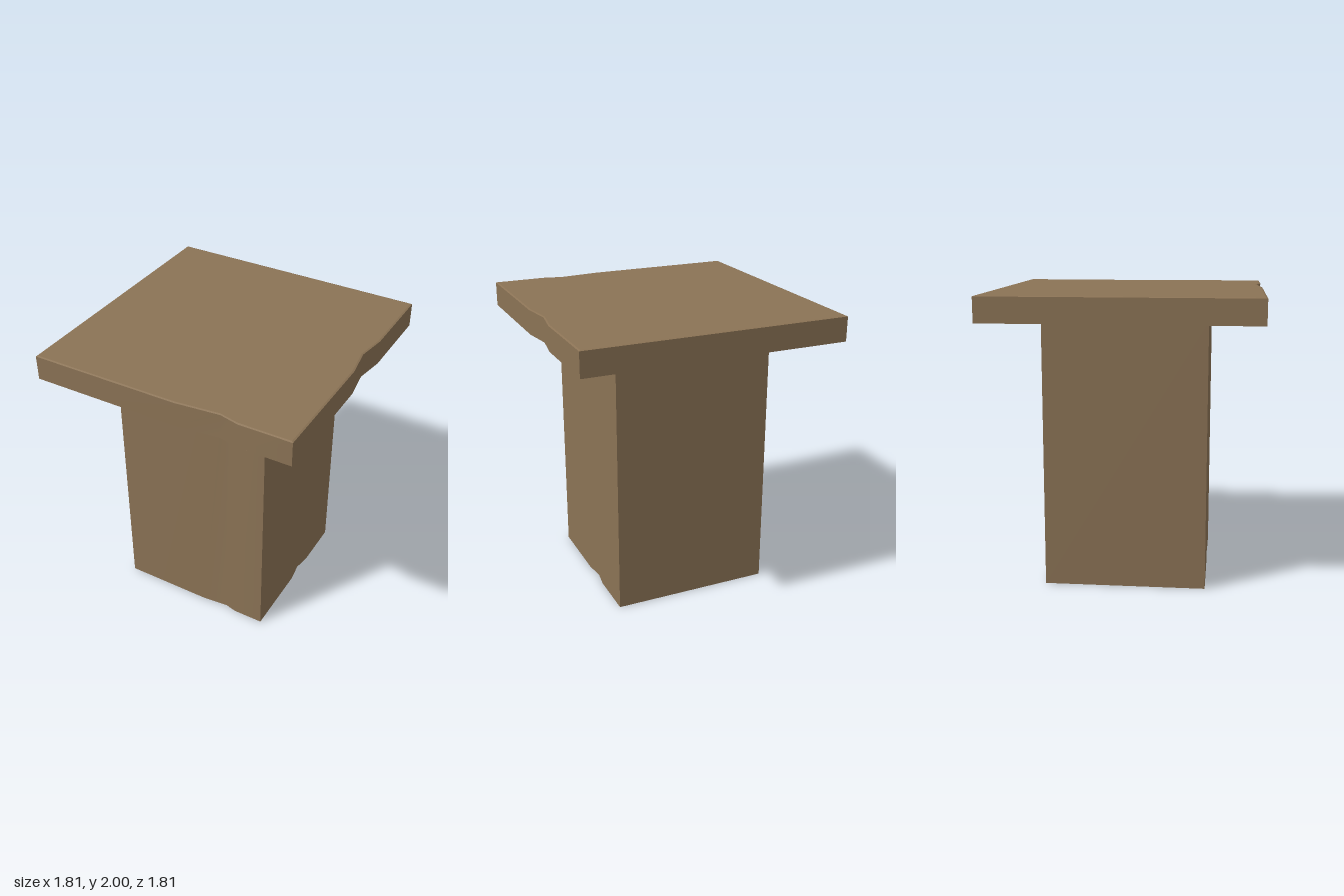
import * as THREE from 'three';
import { mergeGeometries } from 'three/addons/utils/BufferGeometryUtils.js';

// Plan outline as four sides [x, z], with a shallow chip in the front and left sides
const A = -0.905, B = 0.903;
const sides = [
  [[A, B], [0.12, B], [0.42, 0.873], [0.55, B], [B, B]],
  [[B, B], [B, 0.07], [0.872, -0.14], [B, -0.34], [B, A]],
  [[B, A], [A, A]],
  [[A, A], [A, B]],
];

// Band between two scaled outlines; each side is smooth, corners stay sharp
function band(s0, y0, s1, y1) {
  return mergeGeometries(sides.map((side) => {
    const pos = [], index = [];
    side.forEach(([x, z], i) => {
      pos.push(x * s0, y0, z * s0, x * s1, y1, z * s1);
      if (i) {
        const a = 2 * i - 2;
        index.push(a, a + 2, a + 3, a, a + 3, a + 1);
      }
    });
    const g = new THREE.BufferGeometry();
    g.setAttribute('position', new THREE.Float32BufferAttribute(pos, 3));
    g.setIndex(index);
    g.computeVertexNormals();
    return g;
  }));
}

// Flat cap with the scaled outline, facing up
function cap(s, y) {
  const pts = sides.flatMap((side) => side.slice(0, -1))
    .map(([x, z]) => new THREE.Vector2(x * s, -z * s));
  return new THREE.ShapeGeometry(new THREE.Shape(pts)).rotateX(-Math.PI / 2).translate(0, y, 0);
}

export function createModel() {
  const model = new THREE.Group();
  model.name = 'pillar';
  const brown = new THREE.MeshStandardMaterial({ color: 0x8b7355, side: THREE.DoubleSide });
  brown.name = 'brown stone';
  const add = (name, geometry) => {
    const mesh = new THREE.Mesh(geometry, brown);
    mesh.name = name;
    model.add(mesh);
  };

  const inner = 0.606, edge = 0.988;
  // Hollow shaft, open at the bottom
  add('shaft', band(inner, 0, inner, 1.822));
  // Overhanging slab: underside, rim, slim bevel and top
  add('slabUnderside', band(inner, 1.822, 1, 1.83));
  add('slabRim', band(1, 1.83, 1, 1.996));
  add('slabBevel', band(1, 1.996, edge, 2));
  add('slabTop', cap(edge, 2));
  return model;
}
